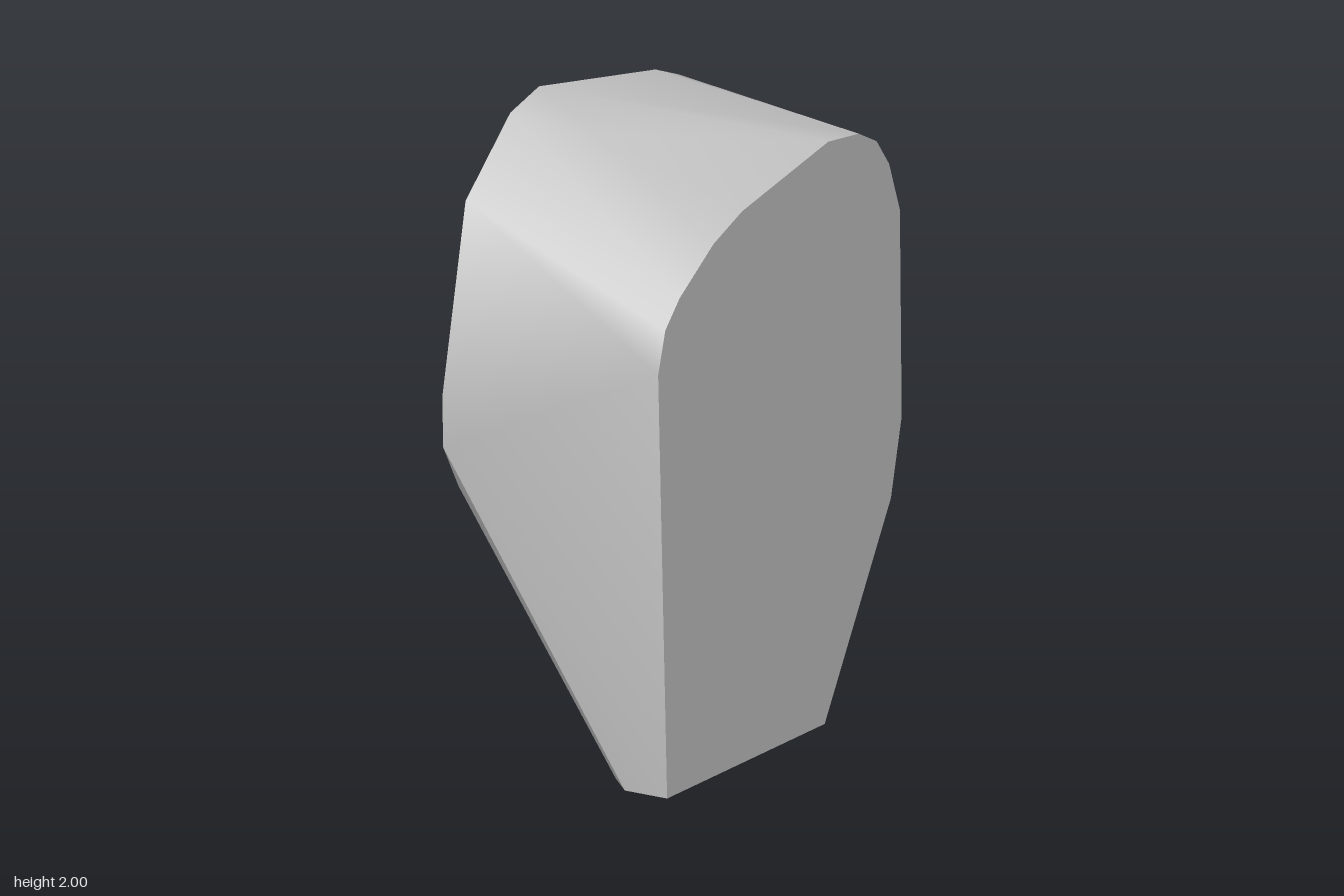
import * as THREE from 'three';
import { ConvexGeometry } from 'three/addons/geometries/ConvexGeometry.js';
import { toCreasedNormals } from 'three/addons/utils/BufferGeometryUtils.js';

// Places a [z, y] outline on the plane at the given x
const outline = (x, points) => points.map(([z, y]) => new THREE.Vector3(x, y, z));

export function createModel() {
  const group = new THREE.Group();
  group.name = 'boulder';
  const stone = new THREE.MeshStandardMaterial({ color: 0xbfbfbf });
  stone.name = 'grey stone';

  // Flat end on the left, reaching the ground
  const leftEnd = outline(0.36, [
    [0.66, 0], [0.71, 1.34], [0.67, 1.47], [0.59, 1.55], [0.4, 1.67], [0.24, 1.73],
    [-0.24, 1.82], [-0.41, 1.8], [-0.51, 1.75], [-0.58, 1.66], [-0.64, 1.5],
    [-0.65, 0.85], [-0.59, 0.61], [-0.22, 0],
  ]);

  // Larger flat end on the right, cut off well above the ground
  const rightEnd = outline(-0.36, [
    [0.69, 0.867], [0.775, 1.01], [0.78, 1.17], [0.65, 1.75], [0.4, 1.96], [0.24, 2],
    [-0.41, 1.88], [-0.54, 1.83], [-0.63, 1.7], [-0.75, 1.33], [-0.78, 1.17], [-0.72, 1],
  ]);

  // Corners of the foot, and single bulges on the top and the back
  const between = [
    [0.21, 0, 0.66], [0.12, 0, 0.57], [0.13, 0, 0.385],
    [-0.1, 1.915, 0.33], [0, 0.74, -0.665],
  ].map((p) => new THREE.Vector3(...p));

  // One convex body, softened along its rounded sides and sharp at its ends
  const hull = new ConvexGeometry([...leftEnd, ...rightEnd, ...between]);
  const rock = new THREE.Mesh(toCreasedNormals(hull, 0.7), stone);
  rock.name = 'rock';
  group.add(rock);
  return group;
}
